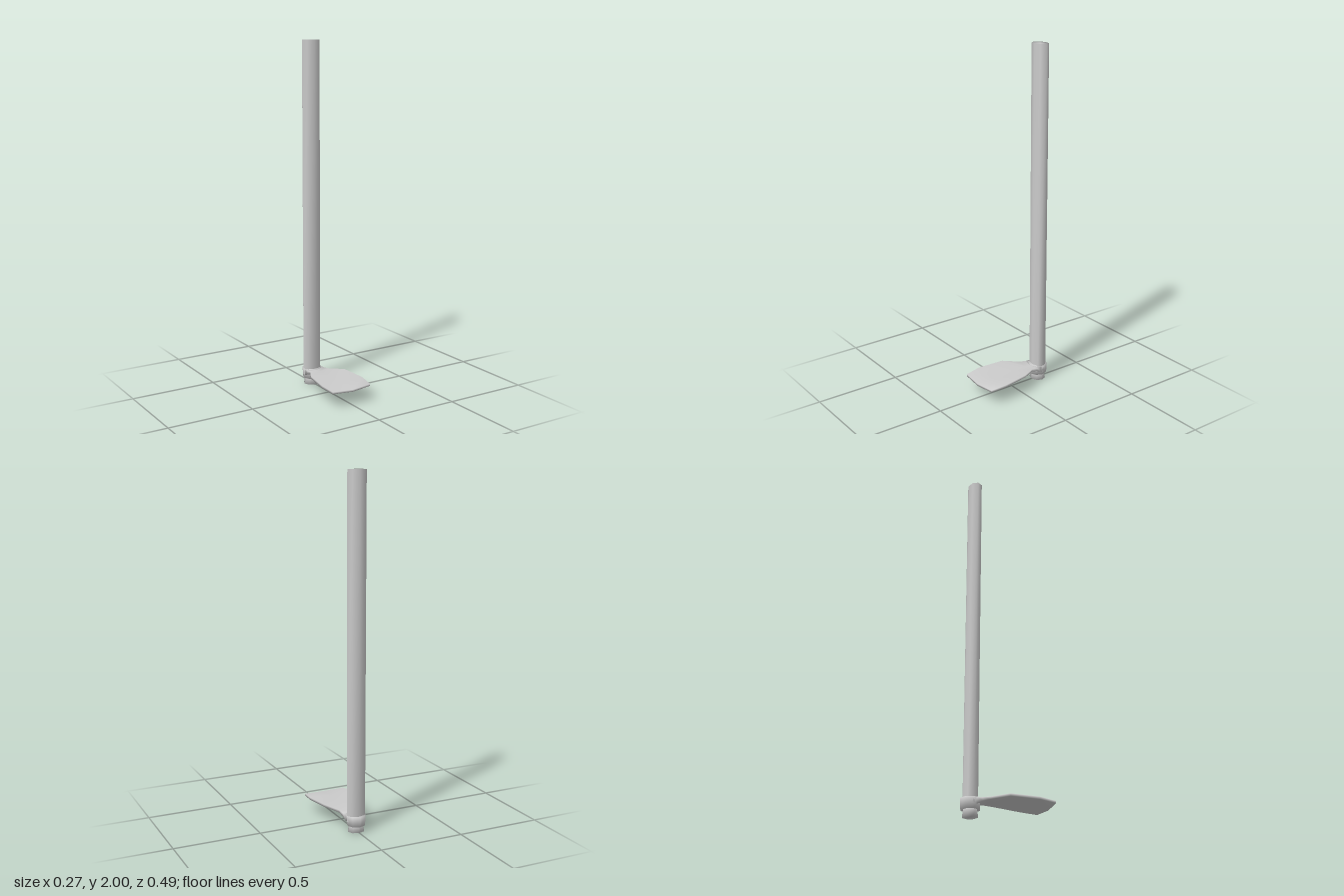
import * as THREE from 'three';
import { mergeVertices } from 'three/addons/utils/BufferGeometryUtils.js';

const material = new THREE.MeshStandardMaterial({ color: 0xcccccc });
const HANDLE_Z = -0.193;

// Eight-sided oval tube standing between two heights
function ovalTube(name, rxTop, rxBottom, rzTop, rzBottom, y0, y1) {
  const geo = new THREE.CylinderGeometry(1, 1, y1 - y0, 8);
  const pos = geo.attributes.position;
  for (let i = 0; i < pos.count; i++) {
    const top = pos.getY(i) > 0;
    pos.setX(i, pos.getX(i) * (top ? rxTop : rxBottom));
    pos.setZ(i, pos.getZ(i) * (top ? rzTop : rzBottom));
  }
  // Smooth the shading over sides and caps together
  geo.deleteAttribute('normal');
  geo.deleteAttribute('uv');
  const smooth = mergeVertices(geo);
  smooth.computeVertexNormals();
  const mesh = new THREE.Mesh(smooth, material);
  mesh.name = name;
  mesh.position.set(0, (y0 + y1) / 2, HANDLE_Z);
  return mesh;
}

// Closed solid skinned over equal cross-sections
function loft(rings) {
  const n = rings[0].length;
  const index = [];
  for (let r = 0; r < rings.length - 1; r++) {
    for (let i = 0; i < n; i++) {
      const a = r * n + i, b = r * n + (i + 1) % n;
      index.push(a, b, b + n, a, b + n, a + n);
    }
  }
  const last = (rings.length - 1) * n;
  // End caps: each half of the section is a quad
  for (const [a, b, c, d] of [[0, 1, 4, 5], [1, 2, 3, 4]]) {
    index.push(a, c, b, a, d, c);
    index.push(last + a, last + b, last + c, last + a, last + c, last + d);
  }
  const geo = new THREE.BufferGeometry();
  geo.setAttribute('position', new THREE.Float32BufferAttribute(rings.flat(2), 3));
  geo.setIndex(index);
  geo.computeVertexNormals();
  return geo;
}

// Blade: shallow V section, widening from the neck to the cutting edge
function blade() {
  // edge z, centre z, half width, edge top y, centre top y, thickness
  const sections = [
    [-0.18, -0.15, 0.056, 0.093, 0.093, 0.035],
    [-0.145, -0.135, 0.058, 0.094, 0.092, 0.02],
    [-0.105, -0.105, 0.062, 0.1, 0.092, 0.014],
    [-0.015, -0.015, 0.115, 0.112, 0.094, 0.014],
    [0.14, 0.14, 0.135, 0.106, 0.094, 0.014],
    [0.234, 0.245, 0.124, 0.096, 0.09, 0.012],
  ];
  const rings = sections.map(([ze, zc, w, ye, yc, t]) => [
    [w, ye, ze], [0, yc, zc], [-w, ye, ze],
    [-w, ye - t, ze], [0, yc - t, zc], [w, ye - t, ze],
  ]);
  const mesh = new THREE.Mesh(loft(rings), material);
  mesh.name = 'blade';
  return mesh;
}

export function createModel() {
  const group = new THREE.Group();
  group.name = 'hoe';
  group.add(
    ovalTube('handle', 0.057, 0.057, 0.04, 0.04, 0.06, 2),
    ovalTube('collar', 0.058, 0.053, 0.056, 0.054, 0.037, 0.095),
    ovalTube('handleEnd', 0.037, 0.05, 0.036, 0.044, 0, 0.045),
    blade(),
  );
  return group;
}
